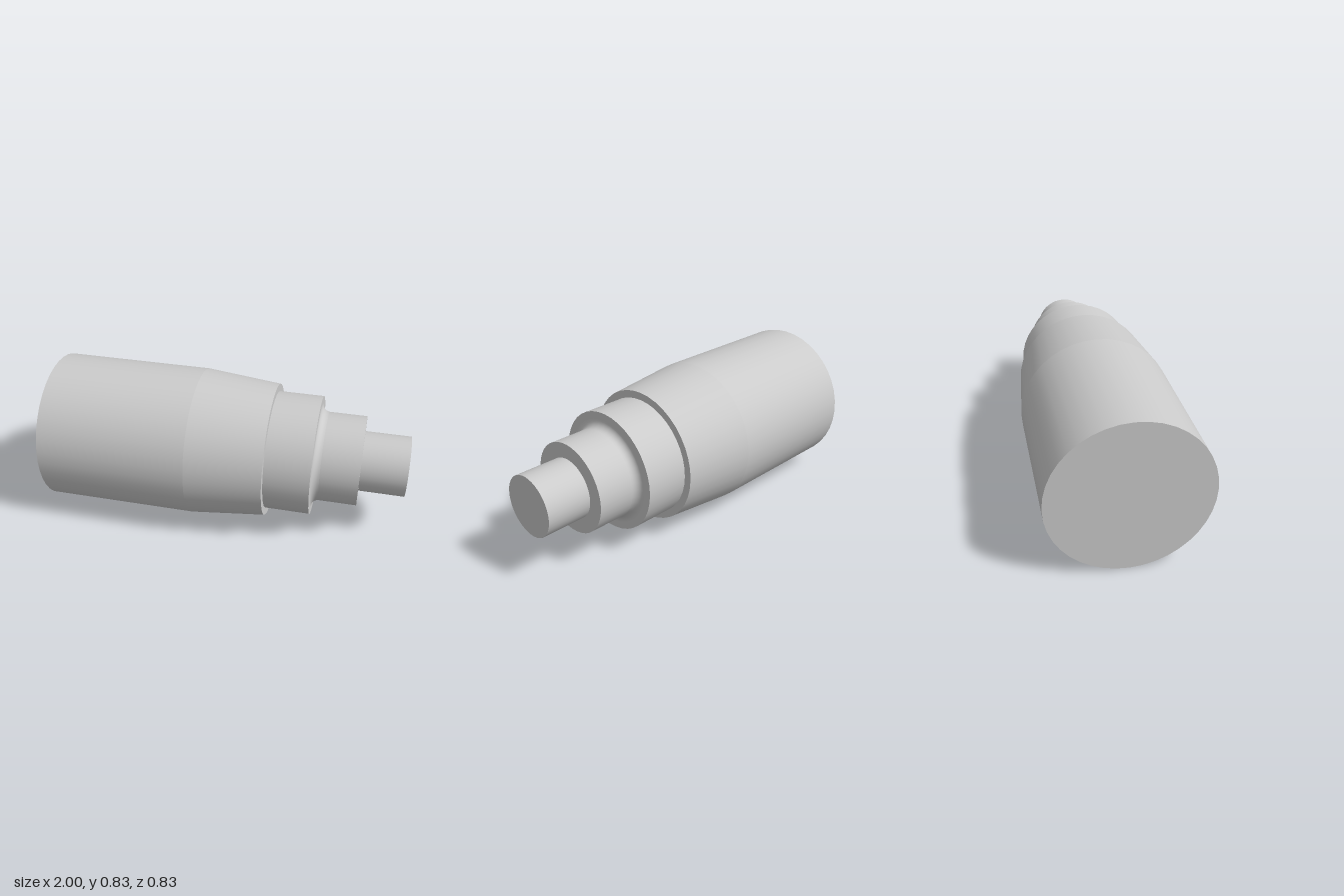
import * as THREE from 'three';

const SEGMENTS = 40;
const R = 5 / 12; // main body radius

export function createModel() {
  const model = new THREE.Group();
  model.name = 'steppedShaft';
  const material = new THREE.MeshStandardMaterial({ color: 0xcccccc });

  // Each profile is a list of [x along the axis, radius]; it turns about the x axis.
  // Separate profiles keep the edges between them sharp.
  function addPart(name, ...profiles) {
    const part = new THREE.Group();
    part.name = name;
    for (const profile of profiles) {
      const points = profile.map(([x, r]) => new THREE.Vector2(r, x));
      const mesh = new THREE.Mesh(new THREE.LatheGeometry(points, SEGMENTS), material);
      mesh.name = name + 'Surface';
      mesh.rotation.z = -Math.PI / 2;
      mesh.position.y = R;
      part.add(mesh);
    }
    model.add(part);
  }

  // Concave fillet at the root of the neck
  const f = 1 / 24;
  const fillet = [];
  for (let i = 0; i <= 8; i++) {
    const a = (i / 8) * Math.PI / 2;
    fillet.push([0.5 + f * (1 - Math.cos(a)), 0.25 + f * (1 - Math.sin(a))]);
  }

  // Large cylinder with its end face
  addPart('body', [[-1, 0], [-1, R]], [[-1, R], [-1 / 6, R]]);
  // Slight taper and its shoulder
  addPart('taper', [[-1 / 6, R], [0.25, 0.375]], [[0.25, 0.375], [0.25, 1 / 3]]);
  // Collar and its shoulder down to the fillet
  addPart('collar', [[0.25, 1 / 3], [0.5, 1 / 3]], [[0.5, 1 / 3], [0.5, 0.25 + f]]);
  // Filleted neck and its shoulder
  addPart('neck', fillet, [[0.5 + f, 0.25], [0.75, 0.25]], [[0.75, 0.25], [0.75, 1 / 6]]);
  // Narrow end pin
  addPart('pin', [[0.75, 1 / 6], [1, 1 / 6]], [[1, 1 / 6], [1, 0]]);

  return model;
}
